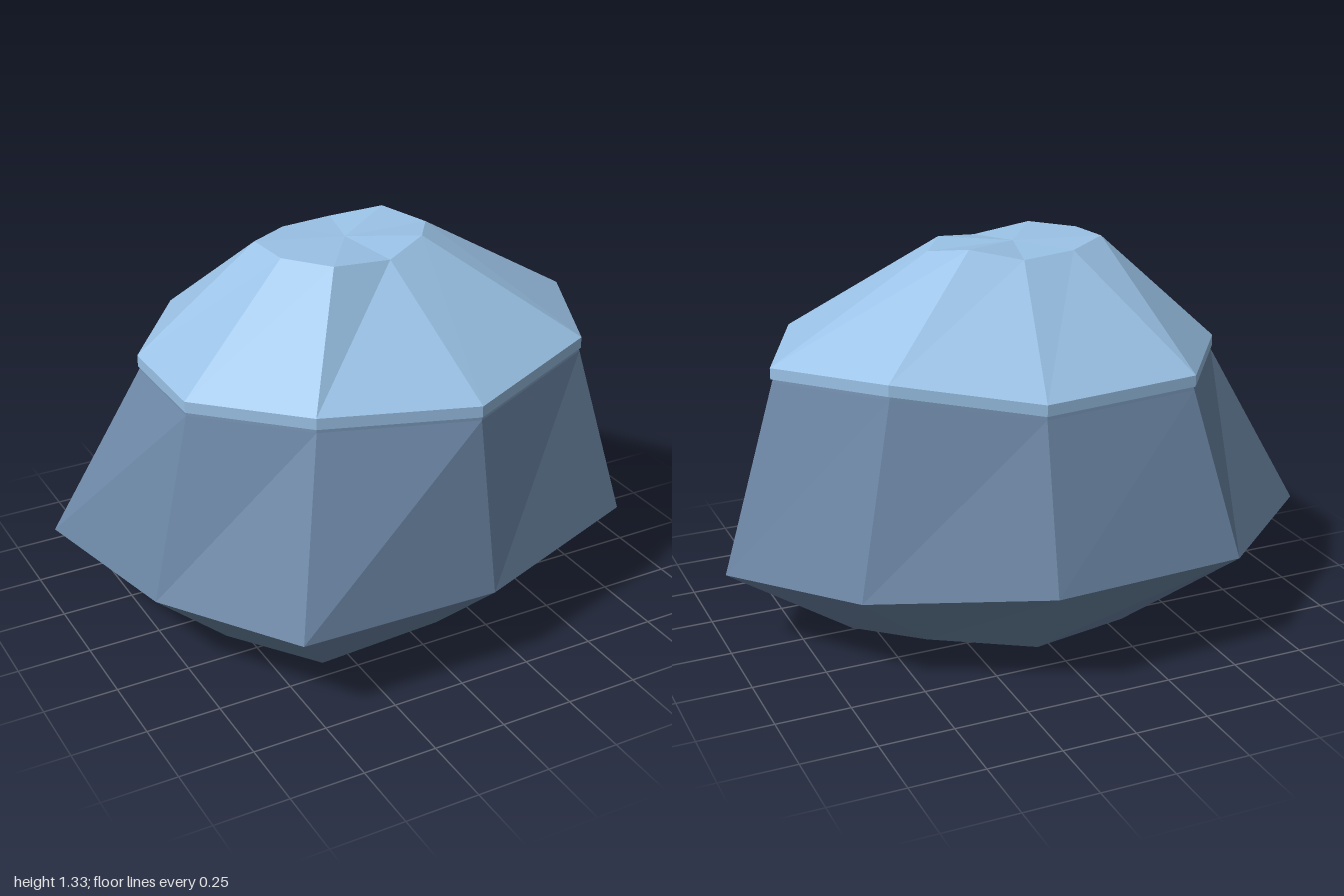
import * as THREE from 'three';

// Nine-cornered rings as [x, y, z], going round from +x towards +z
const base = [
  [0.57, 0, 0.01], [0.38, 0.02, 0.28], [0.07, 0.05, 0.47], [-0.35, 0.005, 0.44], [-0.56, 0, 0.14],
  [-0.5, 0.02, -0.18], [-0.29, 0.02, -0.34], [0.08, 0.045, -0.45], [0.4, 0.05, -0.26],
];
const belly = [
  [1, 0.285, 0.01], [0.76, 0.335, 0.52], [0.13, 0.295, 0.725], [-0.56, 0.31, 0.725], [-0.85, 0.29, 0.25],
  [-1, 0.33, -0.27], [-0.54, 0.35, -0.68], [0.14, 0.36, -0.735], [0.69, 0.33, -0.46],
];
const rim = [
  [0.815, 0.98, 0.01], [0.62, 0.978, 0.44], [0.11, 0.935, 0.645], [-0.4, 0.955, 0.51], [-0.7, 0.95, 0.205],
  [-0.7, 0.95, -0.18], [-0.43, 0.955, -0.54], [0.11, 0.945, -0.575], [0.55, 1.005, -0.365],
];
const crown = [
  [0.27, 1.305, 0.01], [0.18, 1.315, 0.14], [0.02, 1.287, 0.215], [-0.19, 1.308, 0.23], [-0.305, 1.31, 0.09],
  [-0.32, 1.315, -0.07], [-0.17, 1.305, -0.17], [0.02, 1.3, -0.2], [0.18, 1.333, -0.125],
];

// Copy of a ring, scaled sideways and moved up or down
const shift = (ring, scale, dy) => ring.map(([x, y, z]) => [x * scale, y + dy, z * scale]);

// Closed faceted solid through a stack of rings, bottom to top
function loft(rings) {
  const pos = [];
  const n = rings[0].length;
  const tri = (a, b, c) => pos.push(...a, ...b, ...c);
  const middle = (ring) => [0, 1, 2].map((k) => ring.reduce((sum, p) => sum + p[k], 0) / n);
  const bottom = rings[0];
  const top = rings[rings.length - 1];
  const bottomMid = middle(bottom);
  const topMid = middle(top);
  for (let i = 0; i < n; i++) {
    const j = (i + 1) % n;
    for (let r = 0; r < rings.length - 1; r++) {
      const lo = rings[r];
      const hi = rings[r + 1];
      tri(lo[i], hi[i], lo[j]);
      tri(hi[i], hi[j], lo[j]);
    }
    tri(bottomMid, bottom[i], bottom[j]);
    tri(topMid, top[j], top[i]);
  }
  const geometry = new THREE.BufferGeometry();
  geometry.setAttribute('position', new THREE.Float32BufferAttribute(pos, 3));
  geometry.computeVertexNormals();
  return geometry;
}

export function createModel() {
  const group = new THREE.Group();
  group.name = 'boulder';

  const stone = new THREE.MeshStandardMaterial({ color: 0x6c87a6, flatShading: true });
  stone.name = 'slate blue stone';
  const frost = new THREE.MeshStandardMaterial({ color: 0x9ac2e6, flatShading: true });
  frost.name = 'pale blue frost';

  // Rock body, tucked just under the cap
  const body = new THREE.Mesh(loft([base, belly, shift(rim, 0.995, -0.05), shift(rim, 0.99, -0.038)]), stone);
  body.name = 'rockBody';

  // Sloping cap with a thin upright rim
  const cap = new THREE.Mesh(loft([shift(rim, 1, -0.038), rim, crown]), frost);
  cap.name = 'frostCap';

  group.add(body, cap);
  return group;
}
